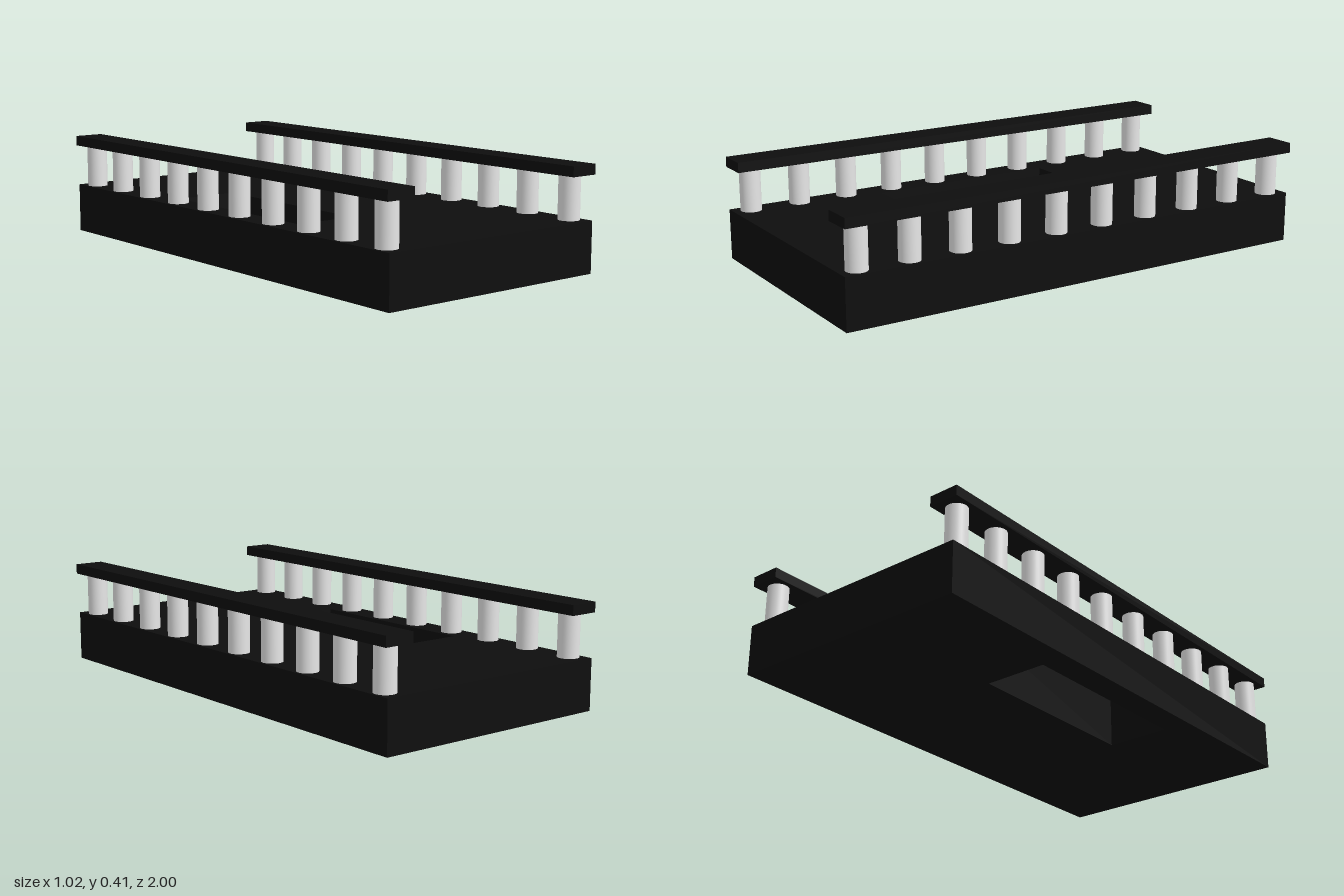
import * as THREE from 'three';

export function createModel() {
  const model = new THREE.Group();
  const black = new THREE.MeshStandardMaterial({ color: 0x0e0e0e });
  black.name = 'black stone';
  const white = new THREE.MeshStandardMaterial({ color: 0xe6e6e6 });
  white.name = 'pale stone';

  function add(parent, name, geometry, material, x, y, z) {
    const mesh = new THREE.Mesh(geometry, material);
    mesh.name = name;
    mesh.position.set(x, y, z);
    parent.add(mesh);
    return mesh;
  }

  // Rectangle in plan; shape y becomes -z once laid flat
  function rectangle(path, x0, x1, z0, z1) {
    path.moveTo(x0, -z1);
    path.lineTo(x1, -z1);
    path.lineTo(x1, -z0);
    path.lineTo(x0, -z0);
    path.closePath();
    return path;
  }

  // Deck slab with a rectangular opening right through it
  const plan = rectangle(new THREE.Shape(), -0.5, 0.5, -1, 1);
  plan.holes.push(rectangle(new THREE.Path(), -0.39, -0.133, -0.387, 0.383));
  const slab = new THREE.ExtrudeGeometry(plan, { depth: 0.2, bevelEnabled: false });
  slab.rotateX(-Math.PI / 2);
  add(model, 'deck', slab, black, 0, 0, 0);

  // A balustrade along each long side: ten round posts under a flat rail
  const postCount = 10;
  const railGeometry = new THREE.BoxGeometry(0.12, 0.04, 2);
  const postGeometry = new THREE.CylinderGeometry(0.0413, 0.0413, 0.17, 32);
  for (const side of [-1, 1]) {
    const balustrade = new THREE.Group();
    balustrade.name = side > 0 ? 'leftBalustrade' : 'rightBalustrade';
    model.add(balustrade);
    add(balustrade, 'handrail', railGeometry, black, side * 0.45, 0.39, 0);
    for (let i = 0; i < postCount; i++) {
      const z = -0.93 + (1.86 * i) / (postCount - 1);
      add(balustrade, 'post', postGeometry, white, side * 0.45, 0.285, z);
    }
  }
  return model;
}
